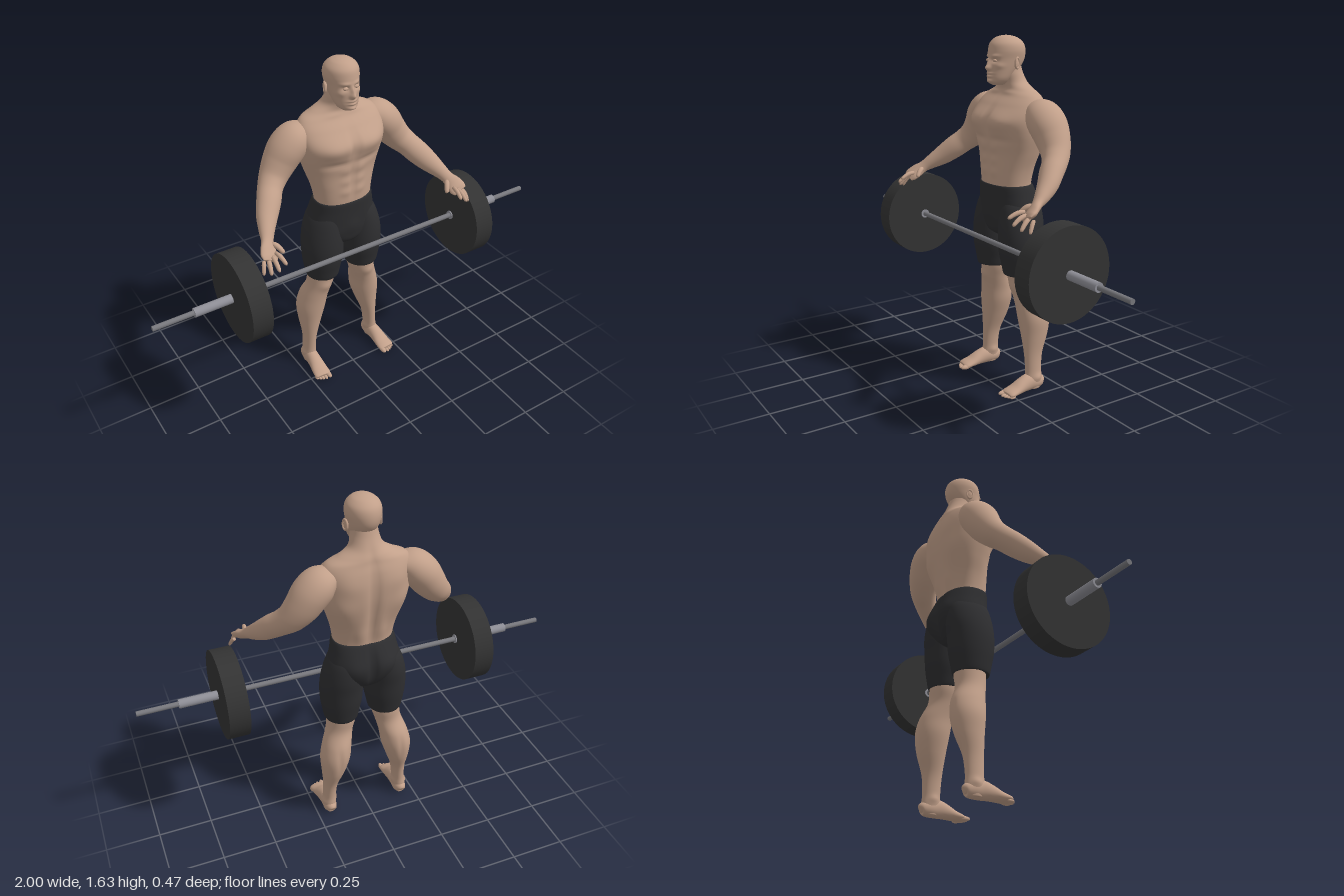
import * as THREE from 'three';

const material = (name, color, extra = {}) => Object.assign(new THREE.MeshStandardMaterial({ color, ...extra }), { name });

// Smooth closed loft through rows [x, y, z, radiusU, radiusV, squareness].
// ref: 'up' keeps rings level, otherwise rings follow the path with U nearest to ref.
// bumps [x, y, z, sx, sy, sz, amount] swell or dent the skin on both sides.
function loft(rows, { ref = 'up', sides = 40, steps = 6, bumps = [] } = {}) {
  const at = (i, k) => rows[Math.min(Math.max(i, 0), rows.length - 1)][k] ?? 2;
  const rings = [];
  for (let s = 0; s <= (rows.length - 1) * steps; s++) {
    const i = Math.min(Math.floor(s / steps), rows.length - 2), t = s / steps - i;
    rings.push([0, 1, 2, 3, 4, 5].map((k) => {
      const [a, b, c, d] = [at(i - 1, k), at(i, k), at(i + 1, k), at(i + 2, k)];
      return b + 0.5 * t * (c - a + t * (2 * a - 5 * b + 4 * c - d + t * (3 * (b - c) + d - a)));
    }));
  }
  const centre = (i) => new THREE.Vector3(...rings[Math.min(Math.max(i, 0), rings.length - 1)].slice(0, 3));
  const pos = [], index = [];
  rings.forEach((r, i) => {
    const c = centre(i);
    const dir = ref === 'up' ? new THREE.Vector3(0, 1, 0) : centre(i + 1).sub(centre(i - 1)).normalize();
    const u = ref === 'up' ? new THREE.Vector3(1, 0, 0) : ref.clone().addScaledVector(dir, -ref.dot(dir)).normalize();
    const v = u.clone().cross(dir);
    for (let j = 0; j < sides; j++) {
      const a = (j / sides) * Math.PI * 2, e = 2 / r[5];
      const power = (w) => Math.sign(w) * Math.abs(w) ** e;
      const p = c.clone().addScaledVector(u, power(Math.cos(a)) * r[3]).addScaledVector(v, power(Math.sin(a)) * r[4]);
      const out = p.clone().sub(c).normalize();
      let push = 0;
      for (const [x, y, z, sx, sy, sz, amount] of bumps)
        push += amount * Math.exp(-(((Math.abs(p.x) - x) / sx) ** 2) - ((p.y - y) / sy) ** 2 - ((p.z - z) / sz) ** 2);
      p.addScaledVector(out, push);
      pos.push(p.x, p.y, p.z);
    }
  });
  const n = rings.length, first = n * sides, last = first + 1;
  pos.push(...centre(0).toArray(), ...centre(n - 1).toArray());
  for (let j = 0; j < sides; j++) {
    const k = (j + 1) % sides, top = (n - 1) * sides;
    for (let i = 0; i < n - 1; i++) {
      const a = i * sides + j, b = i * sides + k;
      index.push(a, a + sides, b, b, a + sides, b + sides);
    }
    index.push(first, j, k, last, top + k, top + j);
  }
  const g = new THREE.BufferGeometry();
  g.setAttribute('position', new THREE.Float32BufferAttribute(pos, 3));
  g.setIndex(index);
  g.computeVertexNormals();
  return g;
}

function mirrored(geometry) {
  const g = geometry.clone().scale(-1, 1, 1), ix = g.index.array;
  for (let i = 0; i < ix.length; i += 3) [ix[i], ix[i + 1]] = [ix[i + 1], ix[i]];
  g.computeVertexNormals();
  return g;
}

export function createModel() {
  const model = new THREE.Group();
  model.name = 'weightlifter';
  const skin = material('skin', 0xc2a08a);
  const cloth = material('shorts cloth', 0x2e2e30);
  const rubber = material('plate rubber', 0x333333);
  const steel = material('bar steel', 0x77777c);
  const sleeveSteel = material('sleeve steel', 0x8e8e96);
  const X = new THREE.Vector3(1, 0, 0), Z = new THREE.Vector3(0, 0, 1);

  const add = (name, geometry, mat) => {
    const mesh = new THREE.Mesh(geometry, mat);
    mesh.name = name;
    model.add(mesh);
    return mesh;
  };
  const pair = (name, geometry, mat) => {
    add('left' + name, geometry, mat);
    add('right' + name, mirrored(geometry), mat);
  };

  // Torso and neck, with chest, stomach and back muscles
  add('torso', loft([
    [0, 0.94, -0.095, 0.133, 0.09, 2.3], [0, 0.99, -0.095, 0.138, 0.094, 2.3], [0, 1.05, -0.1, 0.15, 0.1, 2.3],
    [0, 1.12, -0.108, 0.172, 0.108, 2.3], [0, 1.2, -0.108, 0.195, 0.12, 2.4], [0, 1.27, -0.105, 0.203, 0.124, 2.4],
    [0, 1.33, -0.122, 0.2, 0.1, 2.3], [0, 1.37, -0.135, 0.175, 0.076, 2.2], [0, 1.395, -0.138, 0.125, 0.066],
    [0, 1.425, -0.128, 0.076, 0.061], [0, 1.47, -0.11, 0.06, 0.059], [0, 1.52, -0.1, 0.055, 0.055],
  ], { sides: 80, steps: 8, bumps: [
    [0.085, 1.255, 0.02, 0.07, 0.045, 0.06, 0.014], [0, 1.26, 0.02, 0.012, 0.07, 0.06, -0.012],
    [0.08, 1.18, 0, 0.07, 0.016, 0.06, -0.008], [0, 1.08, 0, 0.008, 0.09, 0.05, -0.006],
    ...[1.14, 1.085, 1.03].map((y) => [0.035, y, 0, 0.025, 0.02, 0.05, 0.005]),
    [0.06, 1.385, -0.06, 0.05, 0.01, 0.04, 0.005],
    [0, 1.17, -0.22, 0.02, 0.2, 0.06, -0.02], [0.1, 1.29, -0.22, 0.06, 0.06, 0.06, 0.01],
    [0.12, 1.17, -0.2, 0.05, 0.06, 0.06, 0.01], [0.045, 1.03, -0.19, 0.025, 0.06, 0.05, 0.008],
  ] }), skin);

  // Head with brow, sockets, nose, lips and chin
  add('head', loft([
    [0, 1.415, -0.05, 0.022, 0.028], [0, 1.428, -0.05, 0.04, 0.046], [0, 1.445, -0.055, 0.051, 0.054],
    [0, 1.47, -0.068, 0.059, 0.067], [0, 1.5, -0.083, 0.066, 0.081], [0, 1.53, -0.092, 0.071, 0.087],
    [0, 1.565, -0.095, 0.076, 0.086], [0, 1.595, -0.094, 0.07, 0.077], [0, 1.617, -0.092, 0.049, 0.054],
    [0, 1.627, -0.09, 0.025, 0.027], [0, 1.63, -0.09, 0.005, 0.005],
  ], { sides: 96, steps: 9, bumps: [
    [0, 1.49, 0, 0.012, 0.013, 0.03, 0.018], [0, 1.512, 0, 0.008, 0.018, 0.03, 0.012],
    [0.027, 1.523, -0.01, 0.014, 0.01, 0.03, -0.009], [0.028, 1.542, -0.01, 0.02, 0.007, 0.03, 0.005],
    [0, 1.467, 0, 0.02, 0.005, 0.03, 0.007], [0, 1.454, 0, 0.017, 0.005, 0.03, 0.008],
    [0, 1.433, 0, 0.018, 0.01, 0.03, 0.008], [0.045, 1.5, -0.03, 0.015, 0.012, 0.03, 0.004],
  ] }), skin);
  pair('Eyelid', new THREE.SphereGeometry(0.011, 20, 12).scale(1.1, 0.65, 0.7).translate(0.027, 1.523, -0.014), skin);
  const ear = new THREE.SphereGeometry(0.02, 20, 14).scale(0.35, 1.25, 0.75).rotateY(0.35).translate(0.074, 1.51, -0.097);
  pair('Ear', ear, skin);
  pair('EarRim', new THREE.TorusGeometry(0.016, 0.004, 8, 24).scale(0.85, 1.4, 1).rotateY(Math.PI / 2 + 0.35)
    .translate(0.079, 1.512, -0.098), skin);

  // Arm from shoulder to palm
  pair('Arm', loft([
    [0.15, 1.318, -0.135, 0.055, 0.042], [0.2, 1.297, -0.14, 0.082, 0.073], [0.245, 1.258, -0.142, 0.088, 0.08],
    [0.285, 1.203, -0.14, 0.078, 0.075], [0.325, 1.152, -0.125, 0.065, 0.064], [0.36, 1.115, -0.095, 0.055, 0.056],
    [0.39, 1.08, -0.055, 0.051, 0.055], [0.425, 1.04, -0.01, 0.044, 0.048], [0.455, 1.005, 0.04, 0.032, 0.035],
    [0.472, 0.982, 0.075, 0.022, 0.029], [0.485, 0.962, 0.105, 0.019, 0.038], [0.493, 0.945, 0.13, 0.016, 0.041],
    [0.498, 0.935, 0.147, 0.008, 0.033],
  ], { ref: Z, sides: 48 }), skin);

  // Fingers: base, tip, thickness
  const fingers = {
    Thumb: [[0.458, 0.975, 0.092], [0.428, 0.94, 0.135], 0.012], IndexFinger: [[0.466, 0.957, 0.135], [0.455, 0.935, 0.208], 0.01],
    MiddleFinger: [[0.484, 0.947, 0.14], [0.488, 0.912, 0.207], 0.01], RingFinger: [[0.503, 0.937, 0.138], [0.516, 0.893, 0.187], 0.01],
    LittleFinger: [[0.519, 0.93, 0.127], [0.538, 0.883, 0.158], 0.009],
  };
  for (const [name, [a, b, r]] of Object.entries(fingers)) {
    const rows = [[0, 0.8], [0.3, 1], [0.6, 0.95], [0.88, 0.8], [0.97, 0.5], [1, 0.1]].map(([t, w]) => [
      ...a.map((q, k) => q + (b[k] - q) * t + (k === 1 ? 0.03 * t * (1 - t) : 0)), r * w, r * w]);
    pair(name, loft(rows, { ref: X, sides: 14, steps: 3 }), skin);
  }

  // Shorts: seat and two legs
  add('shortsSeat', loft([
    [0, 0.968, -0.095, 0.13, 0.088, 2.3], [0, 0.97, -0.095, 0.141, 0.099, 2.3], [0, 0.92, -0.106, 0.152, 0.108, 2.3],
    [0, 0.86, -0.114, 0.165, 0.112, 2.3], [0, 0.8, -0.112, 0.16, 0.106, 2.2], [0, 0.75, -0.105, 0.11, 0.085], [0, 0.72, -0.105, 0.04, 0.04],
  ].reverse(), { sides: 72, bumps: [
    [0.07, 0.865, -0.22, 0.05, 0.06, 0.06, 0.013], [0, 0.86, -0.22, 0.014, 0.08, 0.06, -0.02], [0, 0.84, 0, 0.03, 0.04, 0.04, 0.006],
  ] }), cloth);
  pair('ShortsLeg', loft([
    [0.108, 0.56, -0.105, 0.07, 0.074], [0.108, 0.561, -0.105, 0.078, 0.082], [0.108, 0.6, -0.105, 0.086, 0.09],
    [0.106, 0.66, -0.104, 0.096, 0.101], [0.105, 0.73, -0.105, 0.098, 0.106], [0.1, 0.8, -0.11, 0.092, 0.108],
    [0.09, 0.87, -0.112, 0.078, 0.1], [0.08, 0.92, -0.108, 0.055, 0.08],
  ], { sides: 48 }), cloth);

  // Lower leg
  pair('Leg', loft([
    [0.186, 0.008, -0.13, 0.026, 0.036], [0.185, 0.05, -0.13, 0.032, 0.044], [0.182, 0.1, -0.13, 0.03, 0.041],
    [0.176, 0.18, -0.133, 0.035, 0.047], [0.165, 0.27, -0.145, 0.055, 0.066], [0.155, 0.35, -0.147, 0.07, 0.077],
    [0.142, 0.42, -0.138, 0.067, 0.076], [0.122, 0.49, -0.117, 0.063, 0.066], [0.11, 0.55, -0.112, 0.068, 0.07],
    [0.108, 0.62, -0.11, 0.07, 0.075],
  ], { sides: 48, bumps: [
    [0.12, 0.5, -0.05, 0.03, 0.025, 0.03, 0.007], [0.153, 0.075, -0.13, 0.015, 0.015, 0.02, 0.006],
    [0.215, 0.065, -0.135, 0.015, 0.015, 0.02, 0.006], [0.155, 0.36, -0.225, 0.012, 0.07, 0.03, -0.006],
  ] }), skin);

  // Foot and toes
  pair('Foot', loft([
    [0.185, 0.03, -0.18, 0.01, 0.012], [0.185, 0.033, -0.172, 0.024, 0.027], [0.185, 0.036, -0.14, 0.032, 0.036],
    [0.186, 0.041, -0.1, 0.033, 0.041], [0.188, 0.034, -0.06, 0.035, 0.034], [0.19, 0.023, -0.02, 0.039, 0.023],
    [0.192, 0.016, 0.015, 0.041, 0.016], [0.193, 0.013, 0.028, 0.034, 0.011],
  ], { ref: X, sides: 32 }), skin);
  for (let i = 0; i < 5; i++) {
    const r = i ? 0.009 - i * 0.0004 : 0.013;
    const toe = new THREE.SphereGeometry(r, 16, 12).scale(1, 0.85, 2.1);
    pair('Toe' + (i + 1), toe.translate([0.165, 0.185, 0.2, 0.213, 0.225][i], r * 0.85, [0.027, 0.034, 0.029, 0.022, 0.014][i]), skin);
  }

  // Barbell
  const rod = (name, radius, x0, x1, mat, sides = 32) => {
    const mesh = add(name, new THREE.CylinderGeometry(radius, radius, x1 - x0, sides).rotateZ(Math.PI / 2), mat);
    mesh.position.set((x0 + x1) / 2, 0.72, 0.033);
  };
  rod('bar', 0.012, -1, 1, steel);
  for (const [side, s] of [['left', 1], ['right', -1]]) {
    const span = (a, b) => [Math.min(a * s, b * s), Math.max(a * s, b * s)];
    rod(side + 'Plate', 0.204, ...span(0.545, 0.64), rubber, 64);
    rod(side + 'Sleeve', 0.021, ...span(0.54, 0.815), sleeveSteel);
  }
  return model;
}
